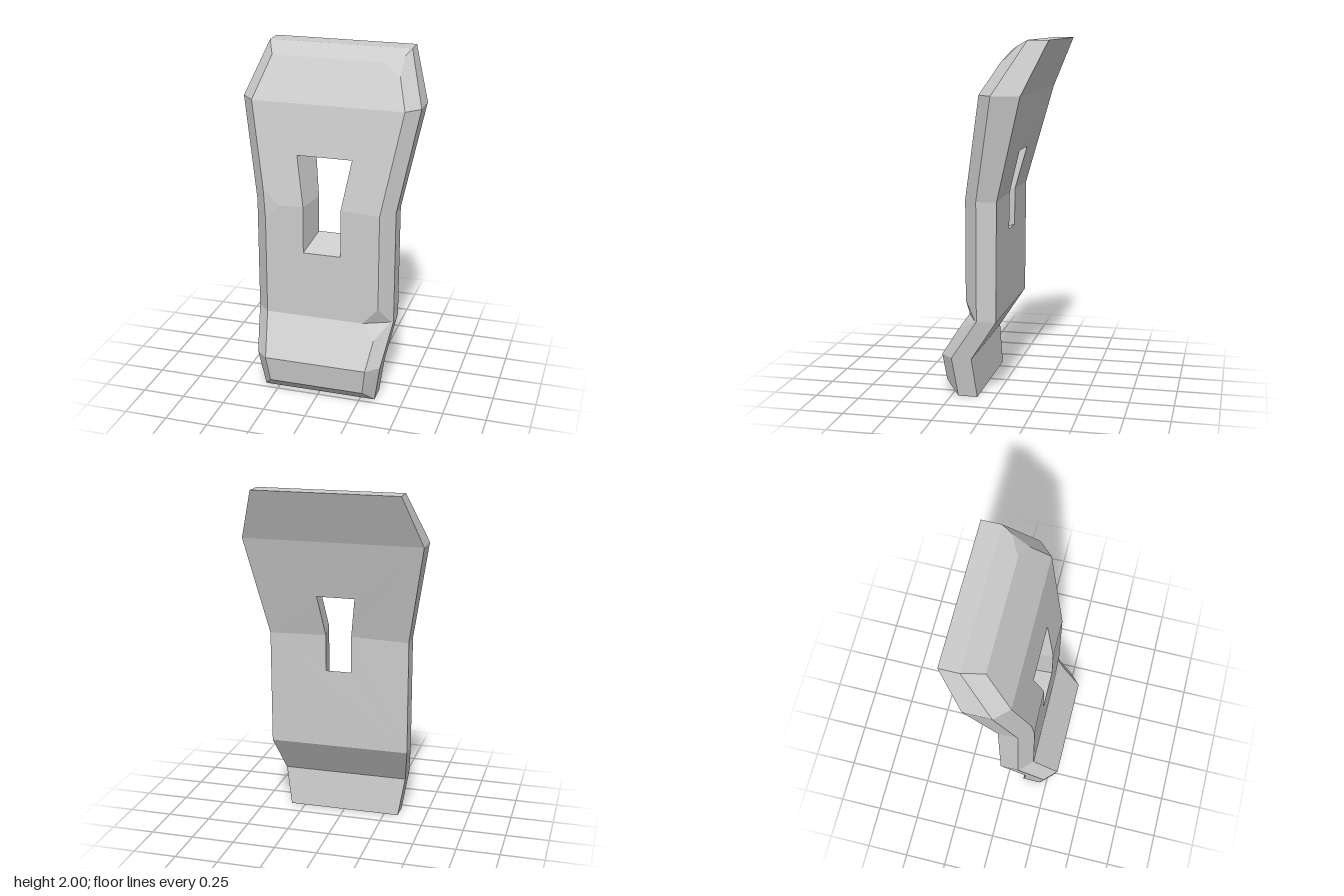
import * as THREE from 'three';

// Cross-sections from bottom to top:
// outer half width, y, back z, side-edge z, then front half width, y, z
const ROWS = [
  [0.335, 0, 0.10, 0.21, 0.28, 0.075, 0.29],
  [0.372, 0.23, 0.125, 0.24, 0.30, 0.23, 0.312],
  [0.41, 0.46, -0.025, 0.085, 0.335, 0.46, 0.163],
  [0.41, 1.13, -0.03, 0.085, 0.335, 1.13, 0.163],
  [0.515, 1.71, -0.18, -0.02, 0.44, 1.71, 0.06],
  [0.415, 2, -0.313, -0.20, 0.365, 1.94, -0.085],
];

const vec = (x, y, z) => new THREE.Vector3(x, y, z);
const pair = (x, y, z) => ({ L: vec(-x, y, z), R: vec(x, y, z) });

// Newell normal of a polygon
function polyNormal(poly) {
  const n = vec(0, 0, 0);
  poly.forEach((p, i) => n.add(p.clone().cross(poly[(i + 1) % poly.length])));
  return n;
}

// Triangulate a polygon, keeping the outward side of its corner order
function triangulate(poly) {
  const n = polyNormal(poly);
  const [ax, ay, az] = [Math.abs(n.x), Math.abs(n.y), Math.abs(n.z)];
  const flat = poly.map((p) =>
    az >= ax && az >= ay ? new THREE.Vector2(p.x, p.y)
      : ax >= ay ? new THREE.Vector2(p.y, p.z) : new THREE.Vector2(p.z, p.x));
  return THREE.ShapeUtils.triangulateShape(flat, []).flatMap(([a, b, c]) => {
    const tri = [poly[a], poly[b], poly[c]];
    return polyNormal(tri).dot(n) < 0 ? tri.reverse() : tri;
  });
}

// Cut a corner off: each edge leaving it is shortened by the given fraction
function chip(faces, corner, cuts) {
  const points = new Map(cuts.map(([to, t]) => [to, corner.clone().lerp(to, t)]));
  const links = new Map();
  for (const face of faces) {
    const i = face.indexOf(corner);
    if (i < 0) continue;
    const before = points.get(face[(i + face.length - 1) % face.length]);
    const after = points.get(face[(i + 1) % face.length]);
    face.splice(i, 1, before, after);
    links.set(after, before);
  }
  const cap = [links.keys().next().value];
  while (cap.length < links.size) cap.push(links.get(cap[cap.length - 1]));
  faces.push(cap);
}

export function createModel() {
  const B = ROWS.map((r) => pair(r[0], r[1], r[2]));
  const M = ROWS.map((r) => pair(r[0], r[1], r[3]));
  const F = ROWS.map((r) => pair(r[4], r[5], r[6]));
  const faces = [];

  // Slot outlines, narrowing from front to back
  const outline = (levels) => {
    const [lo, mid, hi] = levels.map((l) => pair(...l));
    return [lo.L, lo.R, mid.R, hi.R, hi.L, mid.L];
  };
  const sf = outline([[0.11, 0.86, 0.163], [0.11, 1.14, 0.162], [0.16, 1.425, 0.11]]);
  const sb = outline([[0.075, 0.925, -0.028], [0.075, 1.14, -0.032], [0.11, 1.38, -0.095]]);
  sf.forEach((p, i) => {
    const j = (i + 1) % 6;
    faces.push([p, sf[j], sb[j], sb[i]]);
  });

  // Front or back panel of one band, notched around the slot
  const panel = (P, s, i) => {
    const a = P[i], b = P[i + 1];
    if (i === 2) return [a.L, a.R, b.R, s[2], s[1], s[0], s[5], b.L];
    if (i === 3) return [a.L, s[5], s[4], s[3], s[2], a.R, b.R, b.L];
    return [a.L, a.R, b.R, b.L];
  };

  // Bands: front, back, side bevels and sides
  for (let i = 0; i < 5; i++) {
    const j = i + 1;
    faces.push(panel(F, sf, i), panel(B, sb, i).reverse());
    for (const s of ['L', 'R']) {
      const strips = [
        [F[i][s], M[i][s], M[j][s], F[j][s]],
        [M[i][s], B[i][s], B[j][s], M[j][s]],
      ];
      faces.push(...strips.map((q) => (s === 'R' ? q : q.reverse())));
    }
  }

  // Top and bottom ends with their front bevels
  for (const i of [0, 5]) {
    const ends = [
      [F[i].L, F[i].R, M[i].R, M[i].L],
      [M[i].L, M[i].R, B[i].R, B[i].L],
    ];
    faces.push(...ends.map((q) => (i ? q : q.reverse())));
  }

  // Worn corners
  chip(faces, F[3].L, [[F[4].L, 0.155], [F[2].L, 0.12], [M[3].L, 0.85], [sf[5], 0.38]]);
  chip(faces, F[2].R, [[F[3].R, 0.15], [F[1].R, 0.33], [M[2].R, 0.85], [F[2].L, 0.135]]);
  chip(faces, F[5].R, [[F[5].L, 0.11], [M[5].R, 0.5], [F[4].R, 0.27]]);

  const geometry = new THREE.BufferGeometry().setFromPoints(faces.flatMap(triangulate));
  geometry.computeVertexNormals();
  const plate = new THREE.Mesh(
    geometry,
    new THREE.MeshStandardMaterial({ color: 0xcccccc, flatShading: true }),
  );
  plate.name = 'slottedPlate';

  const group = new THREE.Group();
  group.name = 'bentSlottedPlate';
  group.add(plate);
  return group;
}
